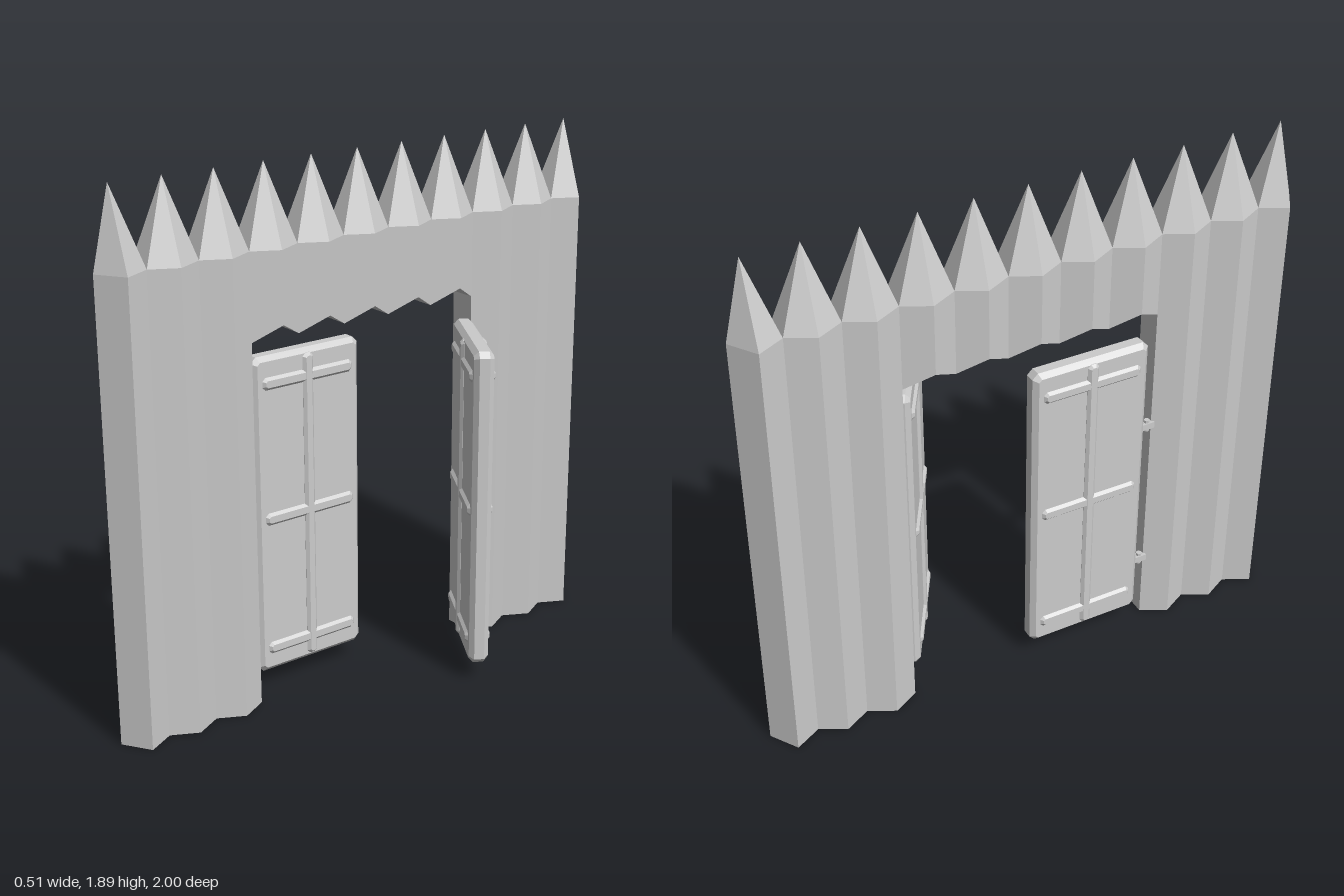
import * as THREE from 'three';

const material = new THREE.MeshStandardMaterial({ color: 0xcccccc, flatShading: true });
const POST_X = -0.163, STEP = 0.187, HALF = STEP / 2, RX = 0.097;
const SHOULDER = 1.62, TIP = 1.895;

// Six-sided sharpened log; outer = +1 / -1 gives the end posts a single outer corner
function postGeometry(outer, bottomMid, bottomSeam) {
  const pair = (s) => outer === s
    ? [[0, s * 0.065]]
    : [[s * RX / 2, s * HALF], [-s * RX / 2, s * HALF]];
  const ring = [[RX, 0], ...pair(1), [-RX, 0], ...pair(-1)];
  const low = ring.map(([x, z]) => [x, z === 0 ? bottomMid : bottomSeam, z]);
  const high = ring.map(([x, z]) => [x, SHOULDER, z]);
  const apex = [0, TIP, 0], base = [0, bottomMid, 0];
  const tris = [];
  ring.forEach((_, i) => {
    const j = (i + 1) % ring.length;
    tris.push(low[i], high[i], high[j], low[i], high[j], low[j]);
    tris.push(high[i], apex, high[j]);
    tris.push(base, low[i], low[j]);
  });
  const g = new THREE.BufferGeometry();
  g.setAttribute('position', new THREE.Float32BufferAttribute(tris.flat(), 3));
  g.computeVertexNormals();
  return g;
}

// Box with all edges chamfered by c; thin along x, centred on the origin
function chamferBox(thick, height, width, c) {
  const w = width / 2 - c, h = height / 2 - c, k = c * 0.6;
  const s = new THREE.Shape([
    [-w + k, -h], [w - k, -h], [w, -h + k], [w, h - k],
    [w - k, h], [-w + k, h], [-w, h - k], [-w, -h + k],
  ].map(([x, y]) => new THREE.Vector2(x, y)));
  const depth = thick - 2 * c;
  const g = new THREE.ExtrudeGeometry(s, {
    depth, bevelEnabled: true, bevelThickness: c, bevelSize: c, bevelSegments: 1,
  });
  g.translate(0, 0, -depth / 2);
  g.rotateY(Math.PI / 2);
  return g;
}

function add(parent, name, geometry, x, y, z) {
  const m = new THREE.Mesh(geometry, material);
  m.name = name;
  m.position.set(x, y, z);
  parent.add(m);
  return m;
}

// Door leaf, hinged at its -z side
function makeDoor(name) {
  const door = new THREE.Group();
  door.name = name;
  add(door, 'panel', chamferBox(0.07, 1.165, 0.44, 0.017), 0, 0.6525, 0);
  // Braces run through the panel and stand proud on both faces
  add(door, 'uprightBrace', chamferBox(0.092, 1.13, 0.042, 0.01), 0, 0.655, 0);
  for (const y of [0.16, 0.65, 1.14])
    add(door, 'crossBrace', chamferBox(0.09, 0.045, 0.37, 0.01), 0, y, 0);
  // Hinges
  for (const y of [0.268, 0.868]) {
    add(door, 'hingePlate', new THREE.BoxGeometry(0.025, 0.024, 0.06), 0, y, -0.24);
    add(door, 'hingePin', new THREE.CylinderGeometry(0.01, 0.01, 0.045, 8), 0, y, -0.245);
  }
  return door;
}

export function createModel() {
  const model = new THREE.Group();
  model.name = 'palisadeGate';

  // Palisade: three tall posts on each side, five short ones over the opening
  for (let i = -5; i <= 5; i++) {
    const short = Math.abs(i) <= 2;
    const outer = Math.abs(i) === 5 ? Math.sign(i) : 0;
    const g = short ? postGeometry(0, 1.37, 1.315) : postGeometry(outer, 0, 0);
    add(model, short ? 'lintelPost' : 'post', g, POST_X, 0, i * STEP);
  }

  // Closed leaf
  const closed = makeDoor('closedDoor');
  closed.position.set(-0.211, 0, 0.205);
  closed.rotation.y = Math.PI;
  model.add(closed);

  // Leaf standing open
  const open = makeDoor('openDoor');
  open.position.set(0.048, 0, -0.341);
  open.rotation.y = Math.PI / 3;
  model.add(open);

  return model;
}
